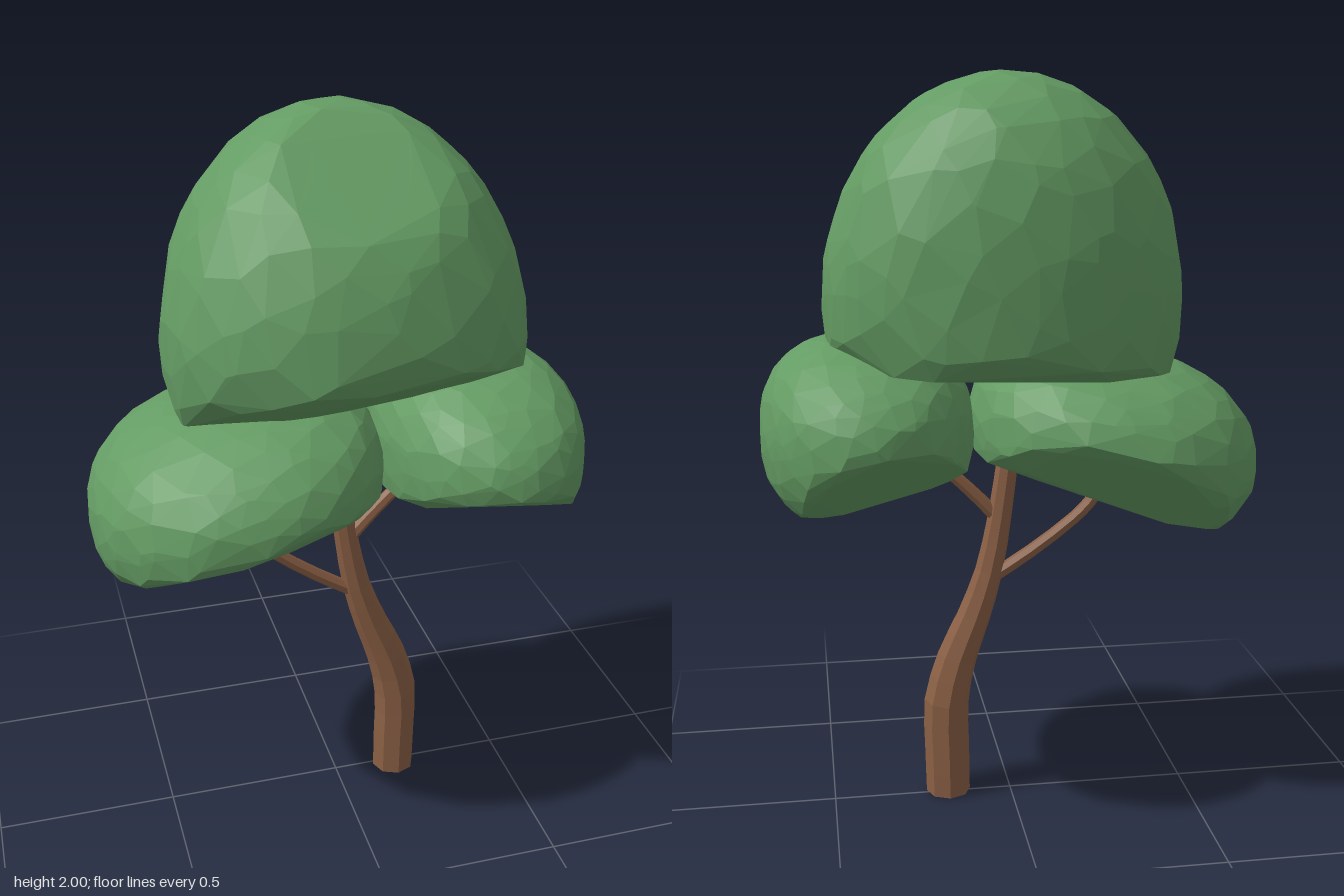
import * as THREE from 'three';
import { mergeVertices } from 'three/addons/utils/BufferGeometryUtils.js';
import { ConvexGeometry } from 'three/addons/geometries/ConvexGeometry.js';

// Small seeded generator for the irregular foliage facets
function seeded(seed) {
  return () => {
    seed = (seed * 16807) % 2147483647;
    return seed / 2147483647 - 0.5;
  };
}

// Rounded clump: a super-ellipsoid trimmed by planes, wrapped in flat facets, then leaned by a rule.
// cuts: { n: outward direction, p: point on the plane }
function foliage({ center, radii, power, depthPower, cuts, lean, seed }) {
  const rand = seeded(seed);
  const source = new THREE.IcosahedronGeometry(1, 5);
  source.deleteAttribute('normal');
  source.deleteAttribute('uv');
  const sphere = mergeVertices(source, 1e-4).attributes.position;
  const c = new THREE.Vector3(...center);
  const planes = cuts.map(({ n, p }) => {
    const normal = new THREE.Vector3(...n).normalize();
    return { normal, d: normal.dot(new THREE.Vector3(...p).sub(c)) };
  });
  const points = [];
  for (let i = 0; i < sphere.count; i++) {
    const v = new THREE.Vector3().fromBufferAttribute(sphere, i);
    v.set(v.x + rand() * 0.15, v.y + rand() * 0.15, v.z + rand() * 0.15);
    v.set(v.x * radii[0], v.y * radii[1], v.z * radii[2]).normalize();
    const [x, y, z] = v.toArray().map((k, a) => Math.abs(k / radii[a]));
    const xy = (x ** power + y ** power) ** (1 / power);
    let r = (xy ** depthPower + z ** depthPower) ** (-1 / depthPower);
    for (const { normal, d } of planes) {
      const along = normal.dot(v);
      if (along > 0) r = Math.min(r, d / along);
    }
    points.push(v.multiplyScalar(r));
  }
  const geometry = new ConvexGeometry(points);
  const pos = geometry.attributes.position;
  const v = new THREE.Vector3();
  for (let i = 0; i < pos.count; i++) {
    lean(v.fromBufferAttribute(pos, i));
    v.add(c);
    pos.setXYZ(i, v.x, v.y, v.z);
  }
  geometry.computeVertexNormals();
  return geometry;
}

// Tapered limb in the x-y plane; points are [x, y, radius]
function limb(points, sides, steps, z) {
  const curve = new THREE.CatmullRomCurve3(points.map(([x, y]) => new THREE.Vector3(x, y, z)));
  const position = [];
  const index = [];
  for (let i = 0; i <= steps; i++) {
    const t = i / steps;
    const p = curve.getPoint(t);
    const tan = curve.getTangent(t);
    if (i === 0 && p.y < 0.02) tan.set(0, 1, 0); // level foot
    const f = t * (points.length - 1);
    const k = Math.min(Math.floor(f), points.length - 2);
    const r = THREE.MathUtils.lerp(points[k][2], points[k + 1][2], f - k);
    for (let j = 0; j < sides; j++) {
      const a = (j / sides) * Math.PI * 2;
      const n = Math.cos(a) * r;
      position.push(p.x - tan.y * n, p.y + tan.x * n, p.z + Math.sin(a) * r);
    }
  }
  const last = steps * sides;
  for (let j = 0; j < sides; j++) {
    const k = (j + 1) % sides;
    for (let i = 0; i < steps; i++) {
      const a = i * sides;
      const b = a + sides;
      index.push(a + j, a + k, b + j, a + k, b + k, b + j);
    }
    // End caps
    if (j > 0 && j < sides - 1) index.push(0, k, j, last, last + j, last + k);
  }
  const indexed = new THREE.BufferGeometry();
  indexed.setAttribute('position', new THREE.Float32BufferAttribute(position, 3));
  indexed.setIndex(index);
  const geometry = indexed.toNonIndexed();
  geometry.computeVertexNormals();
  return geometry;
}

export function createModel() {
  const tree = new THREE.Group();
  tree.name = 'tree';
  const leaf = new THREE.MeshStandardMaterial({ color: 0x649b63 });
  leaf.name = 'leaf green';
  const bark = new THREE.MeshStandardMaterial({ color: 0x8b6045 });
  bark.name = 'bark brown';

  const add = (name, geometry, material) => {
    const mesh = new THREE.Mesh(geometry, material);
    mesh.name = name;
    tree.add(mesh);
  };

  // Curved trunk and two branches
  add('trunk', limb([
    [0.177, 0.005, 0.062], [0.179, 0.14, 0.063], [0.179, 0.28, 0.063], [0.148, 0.41, 0.056],
    [0.1, 0.53, 0.047], [0.057, 0.66, 0.039], [0.026, 0.82, 0.033], [0, 1.01, 0.029],
  ], 8, 14, 0.012), bark);
  add('rightBranch', limb([
    [0.05, 0.64, 0.02], [-0.06, 0.71, 0.019], [-0.18, 0.8, 0.018], [-0.225, 0.845, 0.018], [-0.265, 0.9, 0.018],
  ], 7, 8, 0.012), bark);
  add('leftBranch', limb([
    [0.03, 0.81, 0.02], [0.08, 0.865, 0.019], [0.14, 0.925, 0.018], [0.21, 0.99, 0.018],
  ], 7, 6, 0.012), bark);

  // Tall top crown: base rising to the front, sloping upper front, peak set slightly back
  add('topCrown', foliage({
    center: [0.02, 1.42, 0], radii: [0.475, 0.583, 0.405], power: 2, depthPower: 2.2, seed: 41,
    cuts: [
      { n: [0.05, -1, 0], p: [0, 1.255, 0] },
      { n: [-0.1, -0.84, 0.53], p: [-0.1, 1.4, 0.39] },
      { n: [0.1, -0.85, 0.5], p: [-0.1, 1.4, 0.39] },
      { n: [0, 0.75, 0.66], p: [0, 1.86, 0.22] },
    ],
    lean: (v) => { if (v.y > 0) v.z -= 0.07 * (v.y / 0.58) ** 1.5; },
  }), leaf);

  // Wide lower crown, drooping outward
  add('rightCrown', foliage({
    center: [-0.28, 1.03, 0], radii: [0.392, 0.255, 0.41], power: 2.4, depthPower: 2.08, seed: 97,
    cuts: [
      { n: [0.215, -0.977, 0], p: [0.1, 0.96, 0] },
      { n: [0.07, -0.92, 0.38], p: [-0.4, 0.98, 0.36] },
      { n: [0.15, -0.74, -0.66], p: [-0.5, 0.875, -0.24] },
    ],
    lean: (v) => { v.y += 0.15 * v.x; },
  }), leaf);

  // Smaller lower crown
  add('leftCrown', foliage({
    center: [0.385, 1.08, 0], radii: [0.282, 0.256, 0.41], power: 2.5, depthPower: 2.08, seed: 173,
    cuts: [
      { n: [-0.26, -0.96, 0], p: [0.6, 0.86, 0] },
      { n: [-0.1, -0.87, 0.48], p: [0.29, 1.06, 0.36] },
      { n: [-0.2, -0.77, -0.6], p: [0.55, 0.93, -0.26] },
    ],
    lean: () => {},
  }), leaf);

  return tree;
}
